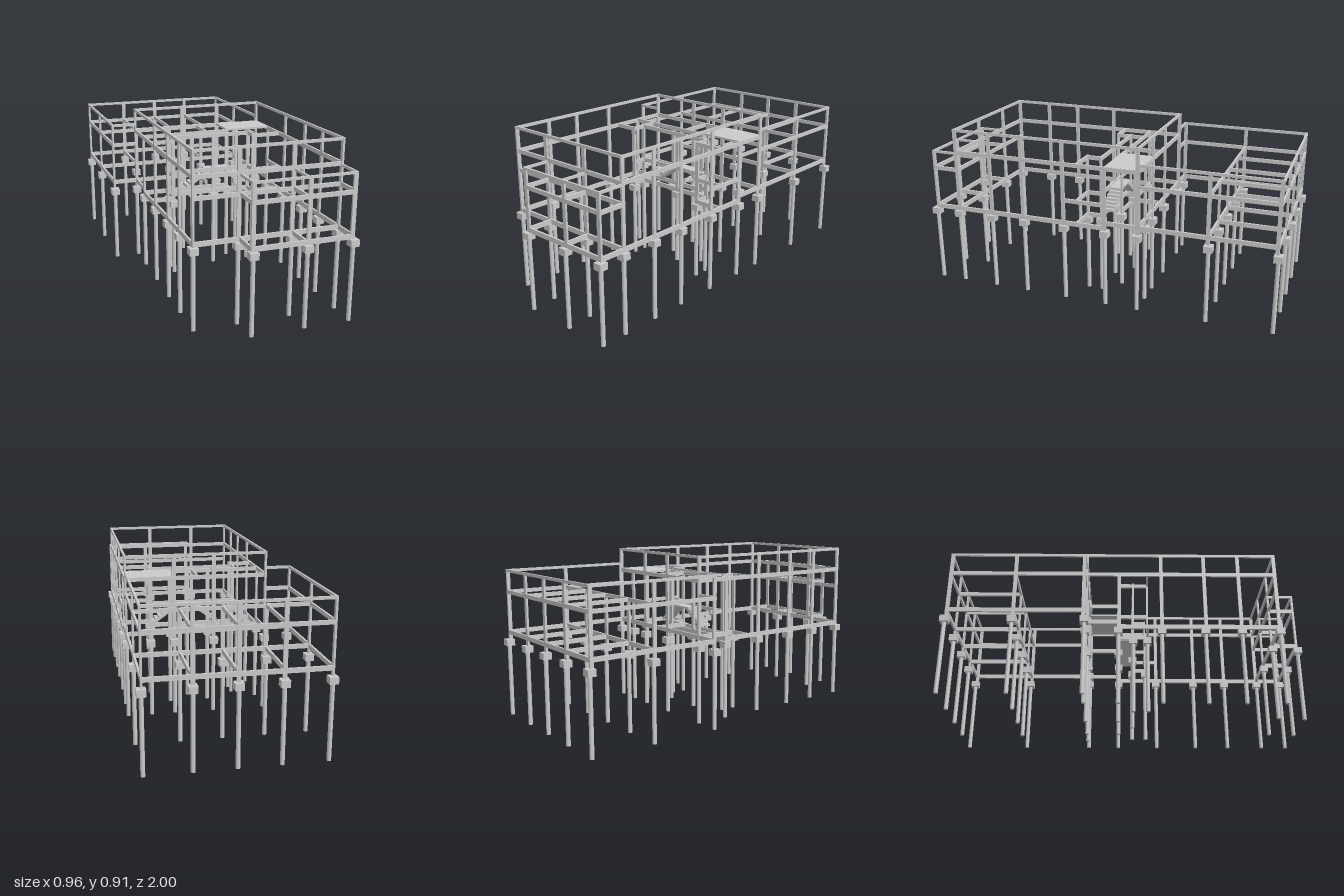
import * as THREE from 'three';

export function createModel() {
  const model = new THREE.Group();
  const mat = new THREE.MeshStandardMaterial({ color: 0xcccccc });
  const T = 0.011; // timber thickness

  const section = (name) => {
    const g = new THREE.Group();
    g.name = name;
    model.add(g);
    return g;
  };
  const box = (parent, name, x0, x1, y0, y1, z0, z1) => {
    const m = new THREE.Mesh(new THREE.BoxGeometry(x1 - x0, y1 - y0, z1 - z0), mat);
    m.position.set((x0 + x1) / 2, (y0 + y1) / 2, (z0 + z1) / 2);
    m.name = name;
    parent.add(m);
  };
  // Beams running along x or z, one per [bottom, top] level
  const beamX = (g, z, x0, x1, levels) =>
    levels.forEach(([a, b]) => box(g, 'beam', x0 - T / 2, x1 + T / 2, a, b, z - T / 2, z + T / 2));
  const beamZ = (g, x, z0, z1, levels) =>
    levels.forEach(([a, b]) => box(g, 'beam', x - T / 2, x + T / 2, a, b, z0 - T / 2, z1 + T / 2));
  // Flat posts, wide along x or along z
  const postX = (g, z, xs, top) =>
    xs.forEach((x) => box(g, 'post', x - 0.011, x + 0.011, 0.435, top, z - T / 2, z + T / 2));
  const postZ = (g, x, zs, top) =>
    zs.forEach((z) => box(g, 'post', x - T / 2, x + T / 2, 0.435, top, z - 0.01, z + 0.01));

  // Beam levels
  const floor = [0.435, 0.46], floorHigh = [0.464, 0.488];
  const roof = [0.896, 0.911], mid = [0.768, 0.79];
  const backRoof = [0.81, 0.825], backMid = [0.69, 0.711];
  const bayRoof = [0.764, 0.777], bayMid = [0.664, 0.686];
  const landing = [0.566, 0.588];

  // Piles with square caps, listed by row
  const foundation = section('foundation');
  const rows = [
    [-0.977, [-0.456, -0.22, 0, 0.217, 0.455]],
    [-0.623, [-0.456, -0.228, 0, 0.222, 0.455]],
    [-0.24, [-0.456, -0.322, -0.03, 0.19, 0.322, 0.455]],
    [-0.058, [-0.322, -0.03, 0.19, 0.455]],
    [0.025, [-0.195, 0.075, 0.29]],
    [0.105, [-0.195, 0.29]],
    [0.18, [-0.322, 0.453]],
    [0.42, [-0.322, 0.453]],
    [0.62, [-0.322, 0.453]],
    [0.83, [-0.322, -0.092, 0.193, 0.453]],
    [0.977, [-0.076, 0.206, 0.453]],
  ];
  const pileGeo = new THREE.CylinderGeometry(0.0115, 0.0115, 0.4, 16);
  for (const [z, xs] of rows) {
    for (const x of xs) {
      const pile = new THREE.Mesh(pileGeo, mat);
      pile.position.set(x, 0.2, z);
      pile.name = 'pile';
      foundation.add(pile);
      box(foundation, 'pileCap', x - 0.023, x + 0.023, 0.4, 0.436, z - 0.023, z + 0.023);
    }
  }

  // Rear wing
  const rear = section('rearWing');
  const L = -0.458, R = 0.453, W = -0.322, B = -0.974, M = -0.24, F = 0.828;
  const rearLevels = [floorHigh, backMid, backRoof];
  beamX(rear, B, L, R, rearLevels);
  beamX(rear, -0.618, L, R, [floorHigh, backMid]);
  beamX(rear, M, L, W, rearLevels);
  for (const x of [L, R]) {
    beamZ(rear, x, B, M, rearLevels);
    postZ(rear, x, [B + 0.005, -0.618, M - 0.005], 0.825);
  }
  postX(rear, B, [-0.22, 0, 0.217], 0.825);
  postX(rear, -0.618, [-0.225, 0, 0.22], 0.711);
  for (const x of [-0.226, 0, 0.22]) beamZ(rear, x, B, -0.618, [floorHigh, backMid]);

  // Main hall
  const hall = section('mainHall');
  for (const x of [W, R]) {
    beamZ(hall, x, M, F, [mid, roof]);
    beamZ(hall, x, -0.055, F, [floor]);
    beamZ(hall, x, M, -0.055, [floorHigh]);
    postZ(hall, x, [M, 0.182, 0.425, 0.62, F], 0.911);
    postZ(hall, x, [-0.055], 0.79);
  }
  beamX(hall, F, W, R, [floor, bayMid, mid, roof]);
  postX(hall, F, [-0.09, 0.193], 0.911);
  beamX(hall, M, W, R, [floorHigh, mid, roof]);
  postX(hall, M, [-0.031, 0.19], 0.911);
  postX(hall, M, [0.322], 0.79);

  // Front bay
  const bay = section('frontBay');
  const front = 0.973;
  const bayLevels = [floor, bayMid, bayRoof];
  beamX(bay, front, -0.081, R, bayLevels);
  for (const x of [-0.081, 0.2, R]) beamZ(bay, x, F, front, bayLevels);
  postX(bay, front, [-0.076, 0.211, 0.448], 0.777);

  // Inner walls around the stair
  const inner = section('innerWalls');
  beamX(inner, -0.058, W, 0.185, [floor, mid]);
  postX(inner, -0.058, [-0.031, 0.187], 0.79);
  beamX(inner, 0.025, -0.195, 0.29, [floor, landing, mid]);
  postX(inner, 0.025, [-0.195, 0.075, 0.29], 0.79);
  beamZ(inner, -0.19, -0.058, 0.105, [floor, landing, mid]);
  beamZ(inner, 0.29, 0.025, 0.105, [floor, landing, mid]);
  beamX(inner, 0.105, W, -0.195, [floor, mid]);
  beamX(inner, 0.105, 0.29, R, [floor, landing, mid]);
  postX(inner, 0.105, [-0.195, 0.29], 0.79);
  beamZ(inner, R, -0.055, 0.18, [landing]);
  beamZ(inner, 0.06, M, -0.058, [floorHigh, mid]);

  // Upper floor slab
  box(model, 'upperSlab', 0.186, R, 0.78, 0.791, M, -0.055);

  // Two mirrored stair flights meeting at the landing
  const stair = section('stair');
  const steps = 7, run = 0.019, rise = 0.0145, x0 = -0.088, y0 = 0.478;
  const profile = new THREE.Shape();
  profile.moveTo(x0, y0);
  for (let i = 0; i < steps; i++) {
    profile.lineTo(x0 + i * run, y0 + (i + 1) * rise);
    profile.lineTo(x0 + (i + 1) * run, y0 + (i + 1) * rise);
  }
  profile.lineTo(0.06, y0 + steps * rise);
  profile.lineTo(0.06, 0.57);
  profile.lineTo(-0.066, y0);
  const flightGeo = new THREE.ExtrudeGeometry(profile, { depth: 0.07, bevelEnabled: false });
  for (const side of [0, 1]) {
    const flight = new THREE.Mesh(flightGeo, mat);
    flight.name = side ? 'rightFlight' : 'leftFlight';
    flight.rotation.y = side * Math.PI;
    flight.position.set(side * 0.204, 0, side ? 0.02 : -0.05);
    stair.add(flight);
  }
  box(stair, 'landing', 0.06, 0.144, 0.57, 0.5795, -0.05, 0.02);

  return model;
}
